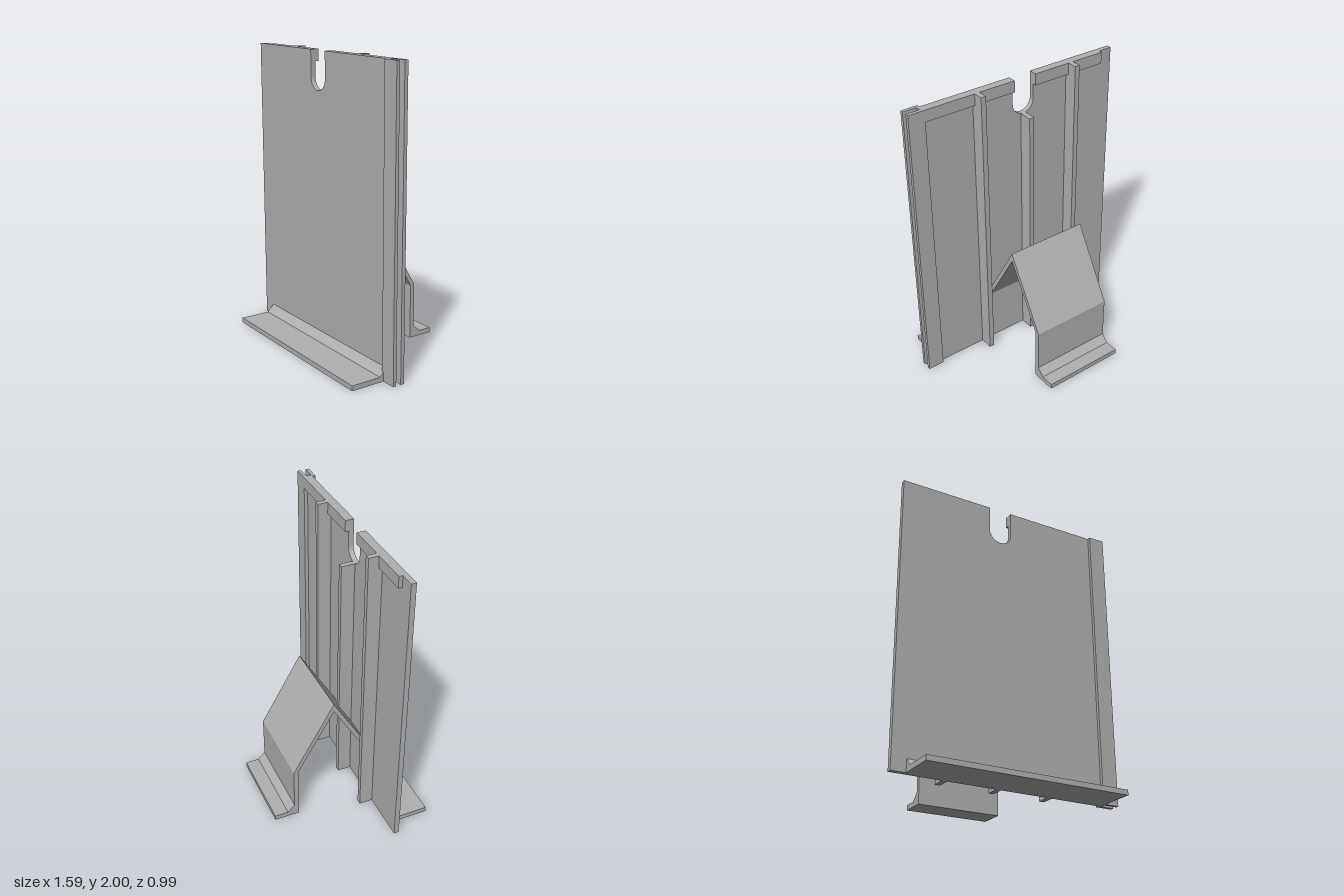
import * as THREE from 'three';

export function createModel() {
  const model = new THREE.Group();
  model.name = 'standingPanel';
  const grey = new THREE.MeshStandardMaterial({ color: 0xb0b0b0 });
  grey.name = 'plain grey';

  const add = (name, geometry) => {
    const mesh = new THREE.Mesh(geometry, grey);
    mesh.name = name;
    model.add(mesh);
    return mesh;
  };

  // Box given by its limits on each axis
  const box = (name, x0, x1, y0, y1, z0, z1) => {
    const g = new THREE.BoxGeometry(x1 - x0, y1 - y0, z1 - z0);
    g.translate((x0 + x1) / 2, (y0 + y1) / 2, (z0 + z1) / 2);
    return add(name, g);
  };

  // Side profile of [z, y] points, extruded across x
  const profile = (name, points, x0, x1) => {
    const shape = new THREE.Shape(points.map(([z, y]) => new THREE.Vector2(-z, y)));
    const g = new THREE.ExtrudeGeometry(shape, { depth: x1 - x0, bevelEnabled: false });
    g.rotateY(Math.PI / 2);
    g.translate(x0, 0, 0);
    return add(name, g);
  };

  // Main panel with a round-bottomed notch in its top edge
  const notchX = -0.061, notchR = 0.082, notchY = 1.822;
  const panel = new THREE.Shape();
  panel.moveTo(-0.795, 0);
  panel.lineTo(0.7, 0);
  panel.lineTo(0.7, 2);
  panel.lineTo(notchX + notchR, 2);
  panel.lineTo(notchX + notchR, notchY);
  panel.absarc(notchX, notchY, notchR, 0, -Math.PI, true);
  panel.lineTo(notchX - notchR, 2);
  panel.lineTo(-0.795, 2);
  const panelGeo = new THREE.ExtrudeGeometry(panel, { depth: 0.035, bevelEnabled: false, curveSegments: 20 });
  panelGeo.translate(0, 0, 0.2);
  add('panel', panelGeo);

  // Channel lips along the left edge
  box('channelFrontLip', 0.68, 0.795, 0, 2, 0.235, 0.258);
  box('channelBackLip', 0.68, 0.795, 0, 2, 0.175, 0.2);

  // Raised band along the top of the back, on both sides of the notch
  box('topBandRight', -0.695, notchX - notchR, 1.92, 2, 0.175, 0.2);
  box('topBandLeft', notchX + notchR, 0.68, 1.92, 2, 0.175, 0.2);

  // Upright ribs on the back
  [[-0.43, 2], [notchX, notchY - notchR], [0.306, 2]].forEach(([x, top]) => {
    box('backRib', x - 0.018, x + 0.018, 0, top, 0.106, 0.2);
  });

  // Front foot with its chamfered joint
  profile('frontFoot', [
    [0.235, 0], [0.497, 0], [0.497, 0.035], [0.285, 0.035], [0.235, 0.085],
  ], -0.695, 0.695);

  // Bent rear stand: arm, peak, slope, leg and foot
  profile('rearStand', [
    [0.2, 0.39], [0.2, 0.448], [-0.06, 0.89], [-0.352, 0.385], [-0.352, 0.085],
    [-0.402, 0.035], [-0.497, 0.035], [-0.497, 0], [-0.32, 0], [-0.32, 0.383],
    [-0.06, 0.83],
  ], -0.354, 0.234);

  return model;
}
